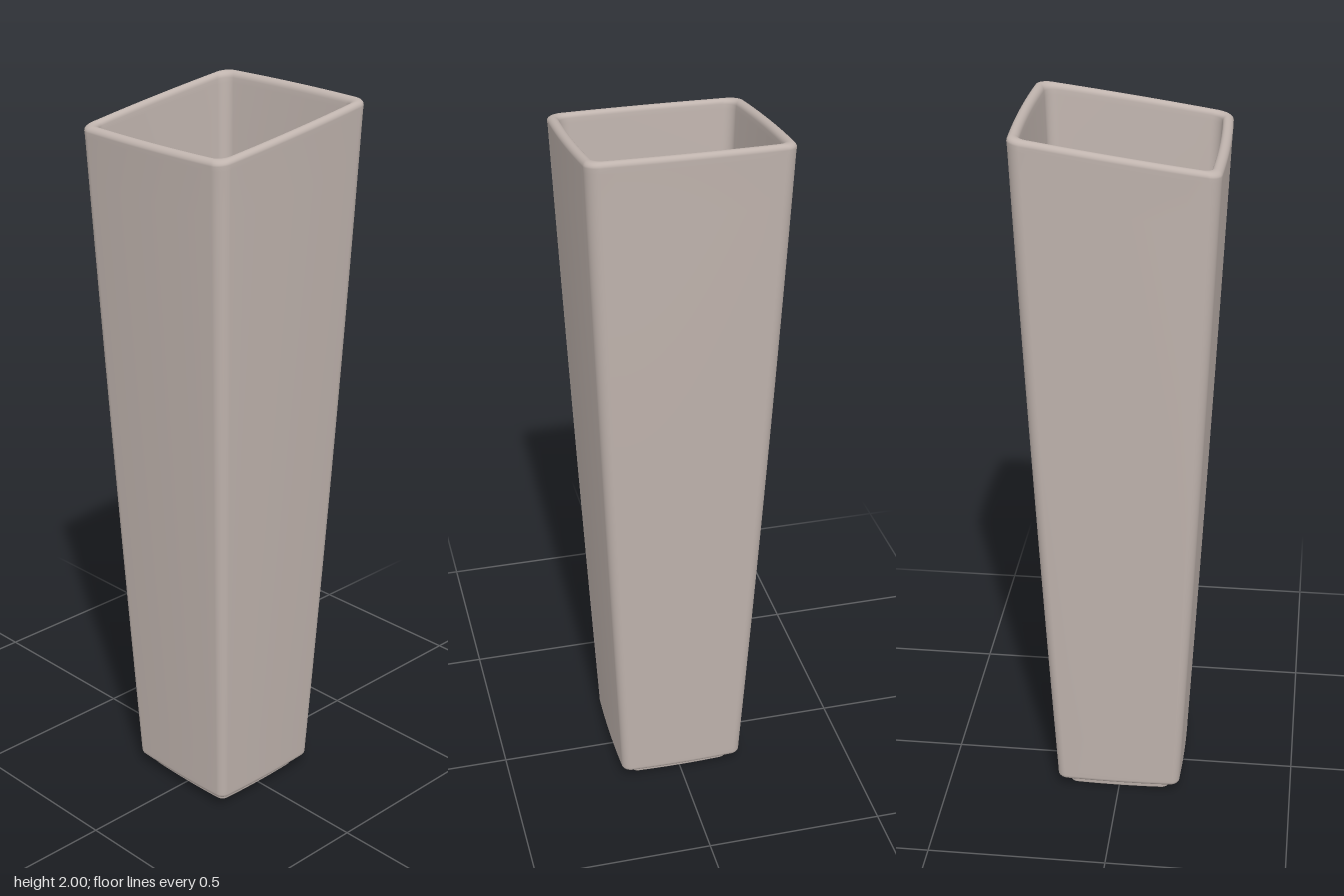
import * as THREE from 'three';

const RIM_Y = 1.9625; // mean rim height; the rim climbs towards +x
const SLOPE = 0.14;

// Rounded square of half-width 1 with gently bowed sides, as [x, z] points
function unitRing() {
  const bow = 0.03, r = 0.12, h = 1 - bow, c = h - r;
  const cornerSteps = 7, sideSteps = 10, points = [];
  const add = (x, z) => points.push([
    x + Math.sign(x) * bow * Math.abs(x) * (1 - z * z),
    z + Math.sign(z) * bow * Math.abs(z) * (1 - x * x),
  ]);
  for (let k = 0; k < 4; k++) {
    const cos = Math.round(Math.cos(k * Math.PI / 2)), sin = Math.round(Math.sin(k * Math.PI / 2));
    const turn = (x, z) => add(x * cos - z * sin, x * sin + z * cos);
    for (let i = 0; i < sideSteps; i++) turn(h, -c + 2 * c * i / sideSteps);
    for (let i = 0; i < cornerSteps; i++) {
      const a = i / cornerSteps * Math.PI / 2;
      turn(c + r * Math.cos(a), c + r * Math.sin(a));
    }
  }
  return points;
}

// Loft the ring along a profile of [half-width, height] stations
function loft(profile) {
  const ring = unitRing(), n = ring.length, positions = [], index = [];
  profile.forEach(([w, y], j) => {
    const tilt = SLOPE * Math.pow(Math.max(0, (y - 0.1) / (RIM_Y - 0.1)), 3);
    ring.forEach(([x, z], i) => {
      positions.push(x * w, y + tilt * x * w, z * w);
      if (j === profile.length - 1) return;
      const a = j * n + i, b = j * n + (i + 1) % n;
      index.push(a, a + n, b, b, a + n, b + n);
    });
  });
  const geometry = new THREE.BufferGeometry();
  geometry.setAttribute('position', new THREE.Float32BufferAttribute(positions, 3));
  geometry.setIndex(index);
  geometry.computeVertexNormals();
  return geometry;
}

// Quarter-circle fillet stations, from angle a0 to a1 in degrees
function fillet(w, y, r, a0, a1, steps = 5) {
  return Array.from({ length: steps + 1 }, (_, i) => {
    const a = THREE.MathUtils.degToRad(a0 + (a1 - a0) * i / steps);
    return [w + r * Math.cos(a), y + r * Math.sin(a)];
  });
}

// Half-width of the outer wall at a given height
function wallWidth(y) {
  const t = (y - 0.05) / (RIM_Y - 0.05);
  return 0.182 + 0.1 * t - 0.012 * t * t;
}

export function createModel() {
  const ceramic = new THREE.MeshStandardMaterial({ color: 0xc0b4ae });
  ceramic.name = 'warm grey ceramic';

  const heights = Array.from({ length: 16 }, (_, i) => 0.06 + i * 0.125);
  const outer = heights.map((y) => [wallWidth(y), y]);
  const inner = heights.slice(1).reverse().map((y) => [wallWidth(y) - 0.028, y]);

  const profile = [
    // Recess under the foot
    [0, 0.022], [0.118, 0.022], [0.123, 0.02], [0.125, 0.015],
    // Foot ring
    ...fillet(0.131, 0.005, 0.005, 180, 270, 3),
    ...fillet(0.143, 0.005, 0.005, 270, 360, 3),
    [0.15, 0.024], [0.151, 0.029], [0.155, 0.031],
    // Lower edge and outer wall
    ...fillet(0.167, 0.046, 0.015, 270, 360),
    ...outer,
    // Rounded rim
    ...fillet(wallWidth(RIM_Y) - 0.014, RIM_Y - 0.014, 0.014, 0, 180, 10),
    // Inner wall and floor
    ...inner,
    ...fillet(0.14, 0.085, 0.019, 0, -90),
    [0.12, 0.066], [0, 0.066],
  ];

  const vase = new THREE.Mesh(loft(profile), ceramic);
  vase.name = 'vase';
  const group = new THREE.Group();
  group.name = 'taperedSquareVase';
  group.add(vase);
  return group;
}
